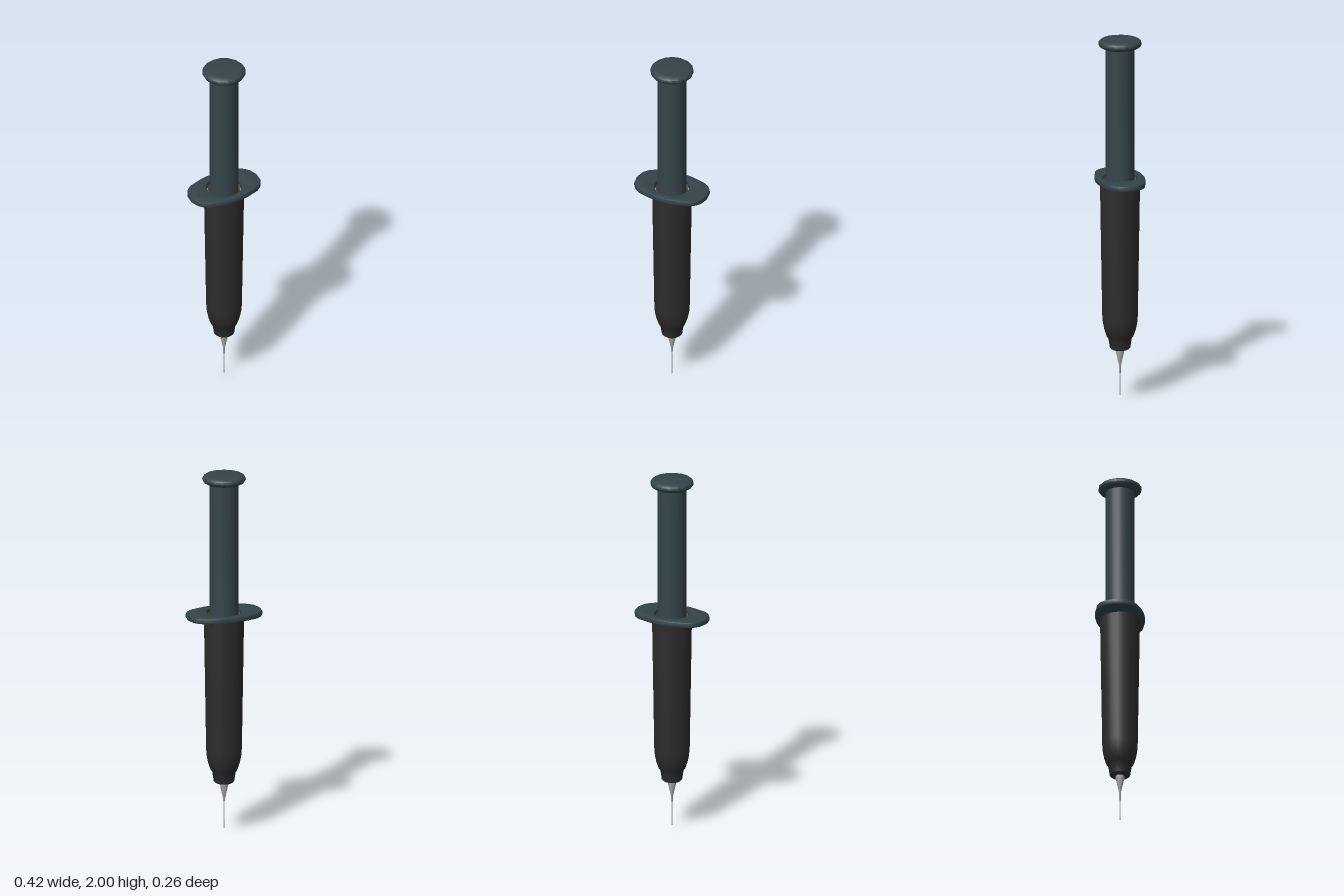
import * as THREE from 'three';
import { toCreasedNormals } from 'three/addons/utils/BufferGeometryUtils.js';

const slate = new THREE.MeshStandardMaterial({ color: 0x34444a });
const black = new THREE.MeshStandardMaterial({ color: 0x2c2c2c });
const steel = new THREE.MeshStandardMaterial({ color: 0xa8a8a8 });
const amber = new THREE.MeshStandardMaterial({ color: 0x8a6a20, side: THREE.DoubleSide });

// Turned part from [radius, height] pairs, listed from bottom to top
function turned(name, profile, sides, material) {
  const points = profile.map(([r, y]) => new THREE.Vector2(r, y));
  const geometry = toCreasedNormals(new THREE.LatheGeometry(points, sides), 0.7);
  const mesh = new THREE.Mesh(geometry, material);
  mesh.name = name;
  return mesh;
}

// Oval finger grip with a hole for the plunger
function fingerGrip() {
  const bevel = 0.008;
  const quarter = [[0.21, 0], [0.2, 0.052], [0.18, 0.081], [0.15, 0.103], [0.07, 0.125], [0.027, 0.131]];
  const half = [...quarter, ...quarter.slice(1).reverse().map(([x, z]) => [-x, z])];
  const outline = [...half, ...half.map(([x, z]) => [-x, -z])];
  const shape = new THREE.Shape(outline.map(([x, z]) => new THREE.Vector2(x, z)));
  const hole = new THREE.Path();
  hole.absarc(0, 0, 0.094, 0, Math.PI * 2, true);
  shape.holes.push(hole);
  const geometry = new THREE.ExtrudeGeometry(shape, {
    depth: 0.016, bevelThickness: bevel, bevelSize: bevel, bevelOffset: -bevel, bevelSegments: 2, curveSegments: 10,
  });
  geometry.rotateX(-Math.PI / 2).translate(0, 1.213, 0);
  const mesh = new THREE.Mesh(toCreasedNormals(geometry, 0.7), slate);
  mesh.name = 'fingerGrip';
  return mesh;
}

export function createModel() {
  const group = new THREE.Group();
  group.name = 'syringe';

  // Plunger rod and rounded thumb rest
  group.add(turned('plungerRod', [[0, 0.5], [0.078, 0.5], [0.078, 1.965]], 20, slate));
  group.add(turned('thumbRest', [
    [0, 1.955], [0.096, 1.955], [0.11, 1.962], [0.117, 1.975], [0.115, 1.987], [0.104, 1.997], [0.085, 2], [0, 2],
  ], 16, slate));

  group.add(fingerGrip());

  // Barrel tapering to a stepped nose, with an open top
  group.add(turned('barrel', [
    [0, 0.285], [0.045, 0.28], [0.055, 0.288], [0.063, 0.34], [0.072, 0.352], [0.085, 0.39], [0.093, 0.43],
    [0.096, 0.47], [0.108, 1.21], [0.09, 1.21],
  ], 20, black));

  // Sleeve lining the gap around the plunger
  group.add(turned('sleeve', [[0.087, 1.15], [0.087, 1.225]], 20, amber));

  // Needle hub and needle
  group.add(turned('needleHub', [[0.005, 0.185], [0.01, 0.21], [0.024, 0.27], [0.024, 0.29]], 12, steel));
  group.add(turned('needle', [[0, 0], [0.0035, 0.06], [0.0045, 0.2]], 8, steel));

  return group;
}
